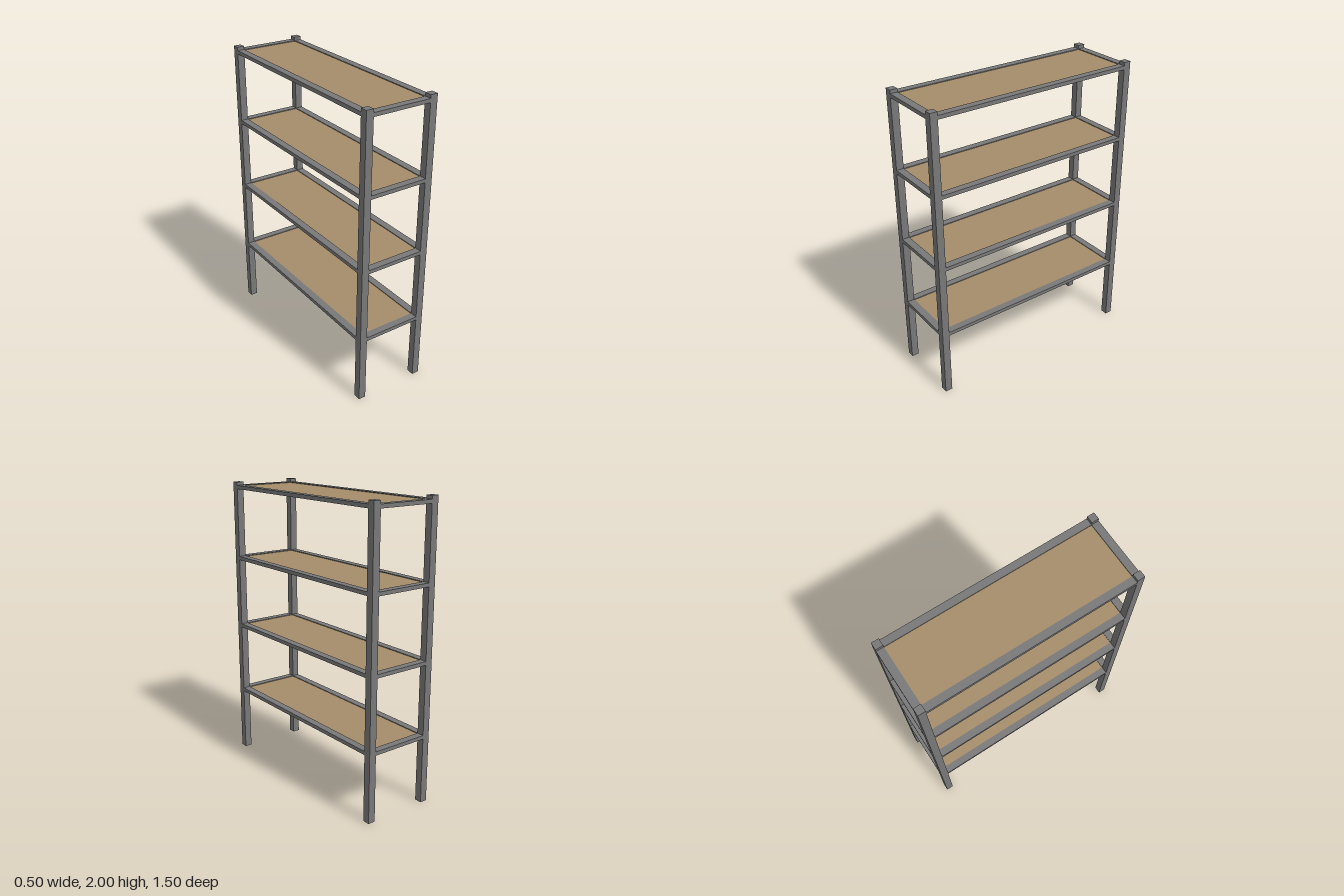
import * as THREE from 'three';

export function createModel() {
  const model = new THREE.Group();
  const steel = new THREE.MeshStandardMaterial({ color: 0x787878 });
  steel.name = 'grey steel';
  const wood = new THREE.MeshStandardMaterial({ color: 0xa58d69 });
  wood.name = 'tan board';

  const W = 0.5, D = 1.5, H = 2, T = 0.05; // overall size and tube width
  const railHeight = 0.025;

  function box(parent, name, material, size, position) {
    const mesh = new THREE.Mesh(new THREE.BoxGeometry(...size), material);
    mesh.name = name;
    mesh.position.set(...position);
    parent.add(mesh);
  }

  // four corner posts
  for (const sx of [-1, 1]) {
    for (const sz of [-1, 1]) {
      const name = (sz > 0 ? 'front' : 'back') + (sx > 0 ? 'Left' : 'Right') + 'Post';
      box(model, name, steel, [T, H, T], [sx * (W - T) / 2, H / 2, sz * (D - T) / 2]);
    }
  }

  // four shelves: a rail frame between the posts holding a board
  for (let i = 0; i < 4; i++) {
    const shelf = new THREE.Group();
    shelf.name = 'shelf' + (i + 1);
    shelf.position.y = 0.465 + i * 0.5;
    for (const s of [-1, 1]) {
      box(shelf, s > 0 ? 'leftRail' : 'rightRail', steel,
        [T, railHeight, D - 2 * T], [s * (W - T) / 2, 0, 0]);
      box(shelf, s > 0 ? 'frontRail' : 'backRail', steel,
        [W - 2 * T, railHeight, T], [0, 0, s * (D - T) / 2]);
    }
    box(shelf, 'board', wood, [W - 2 * T, 0.015, D - 2 * T], [0, 0, 0]);
    model.add(shelf);
  }
  return model;
}
